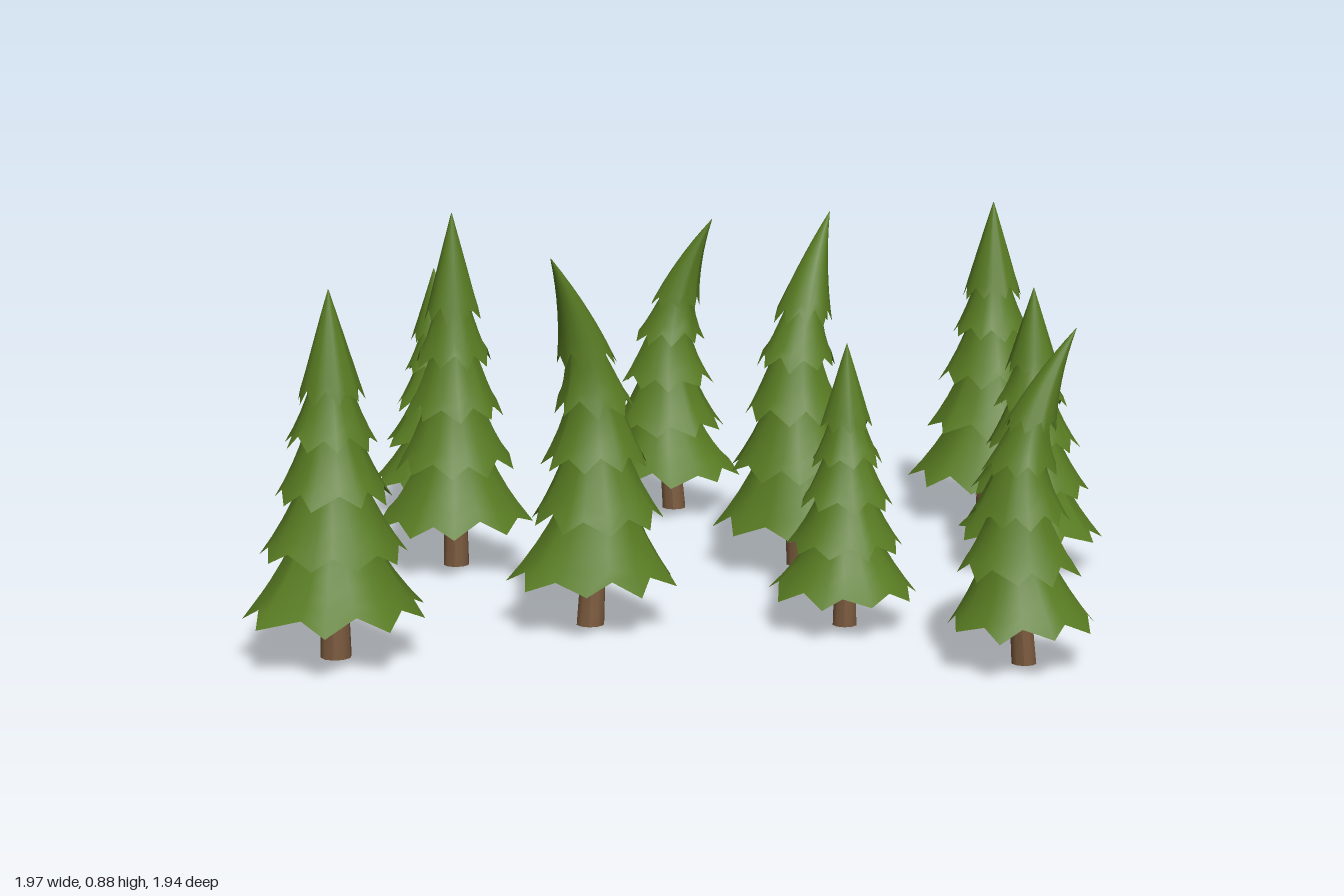
import * as THREE from 'three';

const green = new THREE.MeshStandardMaterial({ color: 0x587b22, side: THREE.DoubleSide });
green.name = 'needle green';
const brown = new THREE.MeshStandardMaterial({ color: 0x7c5b3f });
brown.name = 'bark brown';

// x, z, skirt radius, height, tip offset in x and z
const TREES = [
  [-0.73, -0.72, 0.175, 0.65, 0, 0],
  [-0.12, -0.785, 0.195, 0.78, 0.12, 0.035],
  [0.735, -0.75, 0.22, 0.83, 0, 0],
  [-0.61, -0.12, 0.2, 0.88, 0, 0],
  [0.23, -0.145, 0.21, 0.87, 0.08, -0.11],
  [0.81, -0.155, 0.19, 0.7, 0, 0],
  [-0.22, 0.425, 0.205, 0.87, -0.09, 0.115],
  [0.355, 0.42, 0.18, 0.66, 0, 0],
  [-0.78, 0.75, 0.22, 0.83, 0, 0],
  [0.735, 0.74, 0.178, 0.75, 0.12, -0.03],
];

// Tier rims from bottom to top, as fractions of tree height and skirt radius
const RIM_Y = [0.115, 0.275, 0.43, 0.575, 0.7];
const RIM_R = [1, 0.79, 0.63, 0.49, 0.36];
const POINTS = 9;

function seeded(seed) {
  let s = seed * 7919 + 17;
  return () => (s = (s * 16807) % 2147483647) / 2147483647;
}

// Sideways shift of the tree's axis: the tip curls over, the foot leans slightly
function bend(t, d) {
  const curl = Math.max(0, (t - 0.5) / 0.5) ** 2;
  const foot = 0.15 * Math.max(0, 1 - t / 0.3);
  return d * (curl + foot);
}

// One flared skirt with a jagged, drooping rim
function makeTier(i, R, H, dx, dz, rand) {
  const last = i === RIM_Y.length - 1;
  const rows = last ? 8 : 5;
  const n = POINTS * 2;
  const topY = last ? 1 : RIM_Y[i + 1] + 0.1;
  const topR = last ? 0.004 : RIM_R[i + 1] * 0.42;
  const turn = rand() * Math.PI * 2;
  const spokes = Array.from({ length: n }, (_, k) => ({
    a: turn + (k + (rand() - 0.5) * 0.5) / n * Math.PI * 2,
    reach: k % 2 ? 0.8 + rand() * 0.06 : 0.92 + rand() * 0.1,
    lift: k % 2 ? 0.032 + rand() * 0.014 : rand() * 0.014 - 0.004,
  }));
  const pos = [], index = [];
  for (let j = 0; j <= rows; j++) {
    const s = j / rows;
    for (const p of spokes) {
      const flare = last ? s : 0.6 * s + 0.4 * s * s;
      const r = R * (topR + (RIM_R[i] - topR) * flare) * (1 + (p.reach - 1) * s);
      const t = topY + (RIM_Y[i] - topY) * s + p.lift * s ** 3;
      pos.push(Math.sin(p.a) * r + bend(t, dx), t * H, Math.cos(p.a) * r + bend(t, dz));
    }
  }
  for (let j = 0; j < rows; j++) {
    for (let k = 0; k < n; k++) {
      const a = j * n + k, b = j * n + (k + 1) % n;
      index.push(a, a + n, b, b, a + n, b + n);
    }
  }
  const geo = new THREE.BufferGeometry();
  geo.setAttribute('position', new THREE.Float32BufferAttribute(pos, 3));
  geo.setIndex(index);
  geo.computeVertexNormals();
  return geo;
}

// Tapered trunk following the same bend
function makeTrunk(R, H, dx, dz) {
  const h = H * 0.45;
  const geo = new THREE.CylinderGeometry(R * 0.11, R * 0.16, h, 10, 6);
  geo.translate(0, h / 2, 0);
  const p = geo.attributes.position;
  for (let i = 0; i < p.count; i++) {
    const t = p.getY(i) / H;
    p.setX(i, p.getX(i) + bend(t, dx));
    p.setZ(i, p.getZ(i) + bend(t, dz));
  }
  geo.computeVertexNormals();
  return geo;
}

function add(parent, name, geo, mat) {
  const mesh = new THREE.Mesh(geo, mat);
  mesh.name = name;
  parent.add(mesh);
}

export function createModel() {
  const forest = new THREE.Group();
  forest.name = 'forest';
  TREES.forEach(([x, z, R, H, dx, dz], id) => {
    const rand = seeded(id + 1);
    const tree = new THREE.Group();
    tree.name = 'pineTree' + (id + 1);
    tree.position.set(x, 0, z);
    add(tree, 'trunk', makeTrunk(R, H, dx, dz), brown);
    RIM_Y.forEach((_, i) => add(tree, 'branchTier' + (i + 1), makeTier(i, R, H, dx, dz, rand), green));
    forest.add(tree);
  });
  return forest;
}
